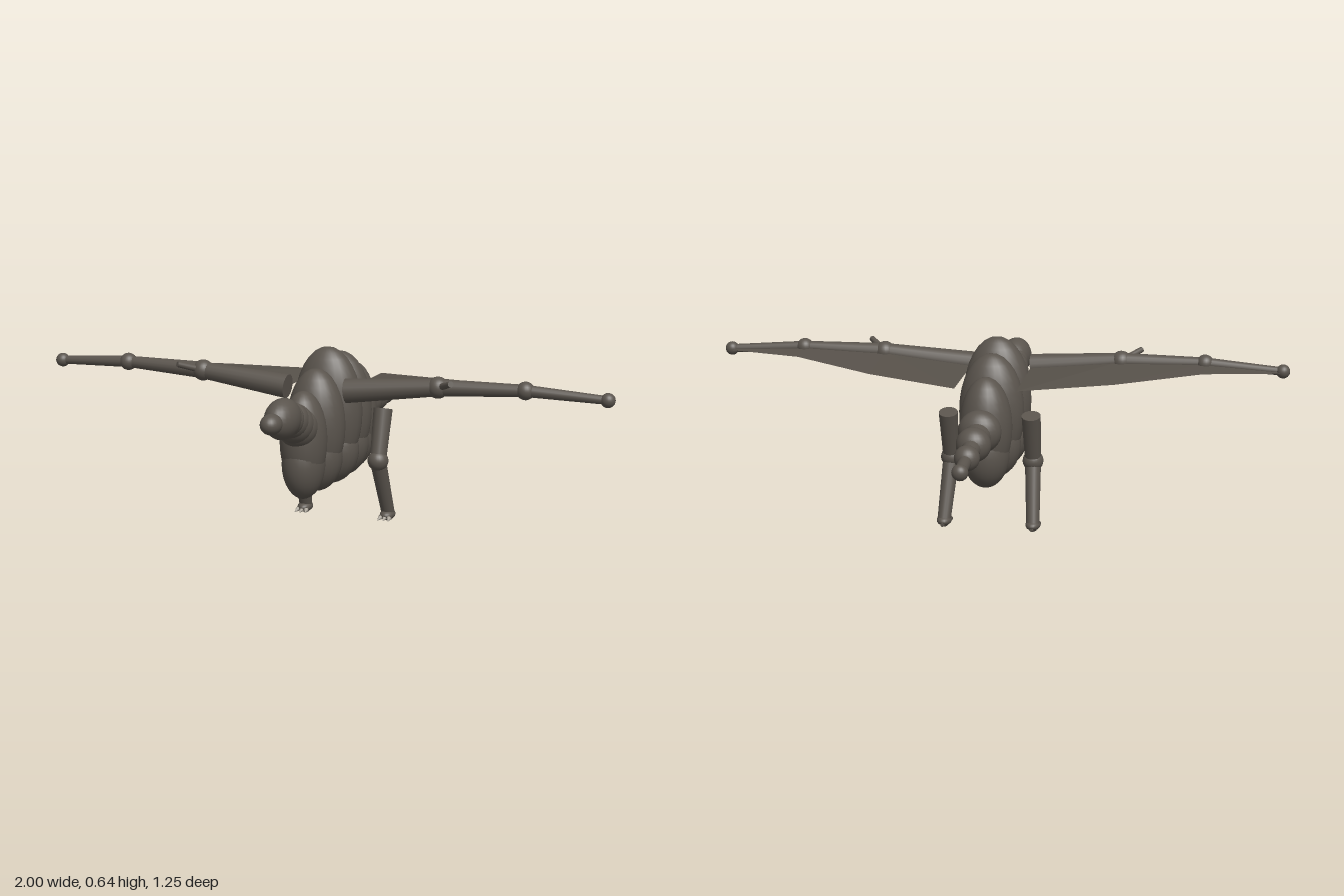
import * as THREE from 'three';

const hide = new THREE.MeshStandardMaterial({ color: 0x5a544d });
hide.name = 'dark hide';
const membraneHide = new THREE.MeshStandardMaterial({ color: 0x57514a, side: THREE.DoubleSide });
membraneHide.name = 'wing membrane';
const horn = new THREE.MeshStandardMaterial({ color: 0xa8a298 });
horn.name = 'pale claw';

const V = (a) => new THREE.Vector3(...a);

// Ellipsoid with separate radii
function blob(parent, name, pos, radii) {
  const m = new THREE.Mesh(new THREE.SphereGeometry(1, 24, 16), hide);
  m.name = name;
  m.position.set(...pos);
  m.scale.set(...radii);
  parent.add(m);
  return m;
}

// Tapered rod from a to b
function limb(parent, name, a, b, ra, rb, material = hide) {
  const p = V(a), d = V(b).sub(p);
  const m = new THREE.Mesh(new THREE.CylinderGeometry(rb, ra, d.length(), 16), material);
  m.name = name;
  m.position.copy(p).addScaledVector(d, 0.5);
  m.quaternion.setFromUnitVectors(new THREE.Vector3(0, 1, 0), d.normalize());
  parent.add(m);
  return m;
}

function buildBody() {
  const g = new THREE.Group();
  g.name = 'body';
  // [z, top height, half width]: each rib is a tall back lobe over a belly lobe
  [[0.31, 0.53, 0.078], [0.197, 0.585, 0.1], [0.085, 0.64, 0.12], [-0.027, 0.607, 0.113], [-0.14, 0.552, 0.09]]
    .forEach(([z, top, w]) => {
      const ry = (top - 0.2) / 2;
      blob(g, 'backLobe', [0, 0.2 + ry, z], [w, ry, 0.086]);
      blob(g, 'bellyLobe', [0, 0.287, z], [w * 0.9, 0.12, 0.086]);
    });
  return g;
}

function buildNeckAndHead() {
  const g = new THREE.Group();
  g.name = 'neckAndHead';
  [[0.42, 0.36, 0.07], [0.436, 0.385, 0.066], [0.452, 0.41, 0.06], [0.463, 0.44, 0.055]]
    .forEach(([y, z, r]) => blob(g, 'neckRing', [0, y, z], [r * 0.95, r, r * 0.9]));
  blob(g, 'skull', [0, 0.473, 0.487], [0.056, 0.067, 0.085]);
  blob(g, 'snout', [0, 0.475, 0.582], [0.035, 0.034, 0.042]);
  blob(g, 'lowerJaw', [0, 0.46, 0.582], [0.022, 0.02, 0.026]);
  return g;
}

function buildTail() {
  const g = new THREE.Group();
  g.name = 'tail';
  // [y, z, radius, half length, rod radius]
  const beads = [[0.395, -0.255, 0.073, 0.056, 0.05], [0.383, -0.367, 0.058, 0.052, 0.037],
    [0.372, -0.482, 0.042, 0.04, 0.022], [0.36, -0.6, 0.027, 0.025, 0.02]];
  beads.forEach(([y, z, r, l, rod], i) => {
    blob(g, 'tailBead', [0, y, z], [r, r, l]);
    const next = beads[i + 1];
    if (next) limb(g, 'tailRod', [0, y, z], [0, next[0], next[1]], rod, next[4]);
  });
  return g;
}

function buildWing() {
  const g = new THREE.Group();
  // Arm joints from shoulder to tip
  const joints = [[0.105, 0.515, 0.19], [0.42, 0.547, 0.18], [0.71, 0.555, 0.168], [0.976, 0.541, 0.155]];
  const radii = [0.041, 0.029, 0.02, 0.014];
  const balls = [0, 0.036, 0.03, 0.024];
  joints.forEach((p, i) => {
    if (i) {
      blob(g, 'wingJoint', p, [balls[i], balls[i], balls[i]]);
      limb(g, 'wingBone', joints[i - 1], p, radii[i - 1], radii[i]);
    }
  });
  limb(g, 'wingThumb', joints[1], [0.484, 0.575, 0.248], 0.012, 0.01);

  // Membrane strips between the arm and the trailing edge
  const trail = [[0.105, 0.512, -0.157], [0.42, 0.525, 0.065 - 0.13], [0.71, 0.542, 0.064], [0.976, 0.539, 0.132]];
  const pos = [];
  for (let i = 0; i < 3; i++) {
    const [a, b, c, d] = [joints[i], joints[i + 1], trail[i], trail[i + 1]];
    pos.push(...a, ...b, ...c, ...b, ...d, ...c);
  }
  const geo = new THREE.BufferGeometry();
  geo.setAttribute('position', new THREE.Float32BufferAttribute(pos, 3));
  geo.computeVertexNormals();
  const skin = new THREE.Mesh(geo, membraneHide);
  skin.name = 'wingMembrane';
  g.add(skin);
  return g;
}

function buildLeg() {
  const g = new THREE.Group();
  const hip = [0.143, 0.405, -0.07], knee = [0.143, 0.232, -0.02], ankle = [0.155, 0.028, -0.095];
  limb(g, 'thigh', hip, knee, 0.033, 0.028);
  blob(g, 'knee', knee, [0.036, 0.036, 0.036]);
  limb(g, 'shin', knee, ankle, 0.028, 0.023);
  blob(g, 'foot', [0.155, 0.024, -0.09], [0.026, 0.018, 0.038]);
  // Three forward toes with claws and one toe behind
  [-1, 0, 1].forEach((s) => {
    const mid = [0.155 + s * 0.016, 0.019, -0.058];
    limb(g, 'toe', [0.155 + s * 0.01, 0.024, -0.09], mid, 0.011, 0.008);
    limb(g, 'claw', mid, [0.155 + s * 0.019, 0.013, -0.037], 0.008, 0.001, horn);
  });
  limb(g, 'backToe', [0.155, 0.018, -0.09], [0.155, 0.015, -0.128], 0.013, 0.006);
  blob(g, 'heel', [0.155, 0.012, -0.095], [0.015, 0.012, 0.015]);
  return g;
}

export function createModel() {
  const model = new THREE.Group();
  model.name = 'wyvern';
  model.add(buildBody(), buildNeckAndHead(), buildTail());
  for (const side of [1, -1]) {
    const label = side > 0 ? 'left' : 'right';
    const wing = buildWing(), leg = buildLeg();
    wing.name = label + 'Wing';
    leg.name = label + 'Leg';
    wing.scale.x = leg.scale.x = side;
    model.add(wing, leg);
  }
  return model;
}
